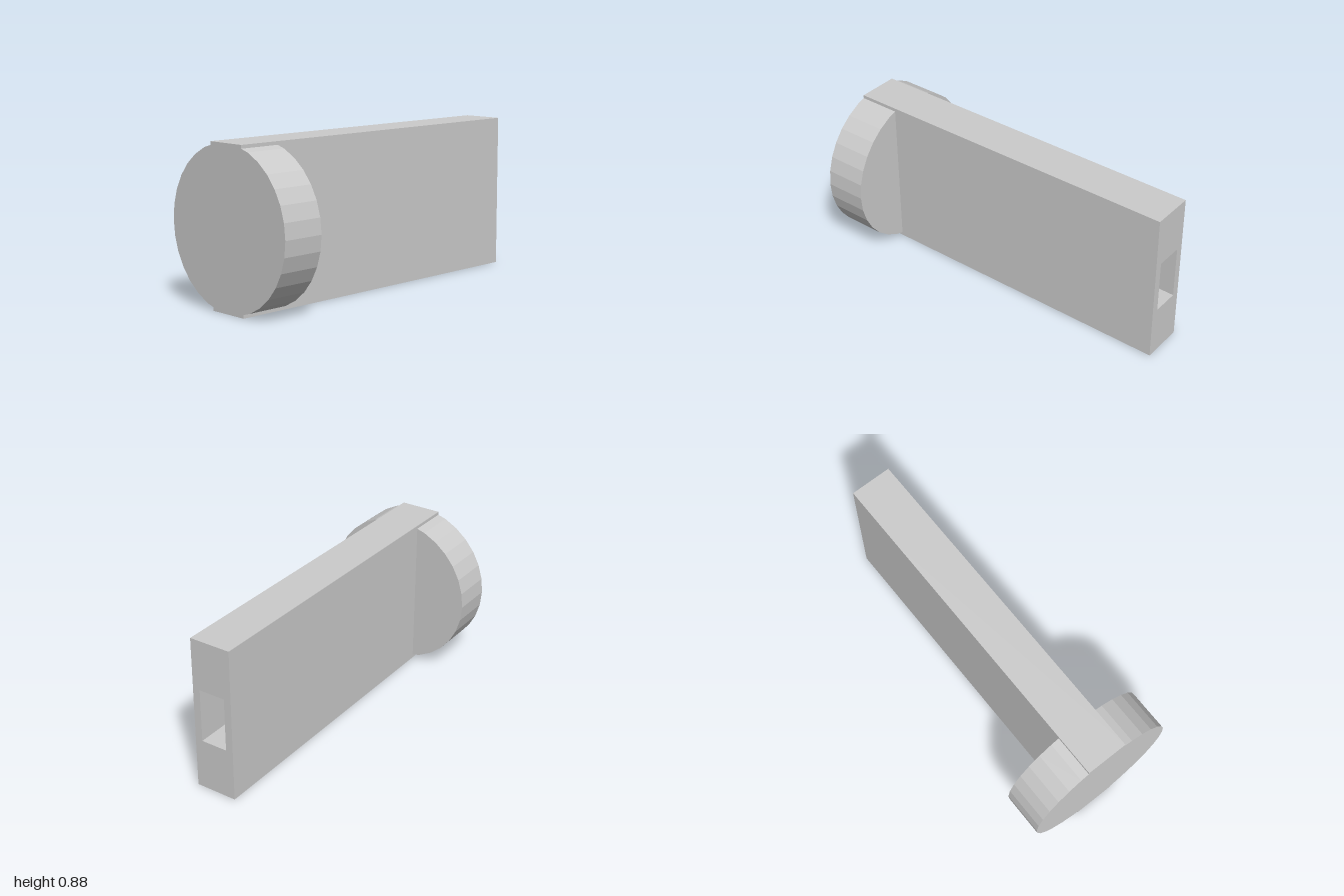
import * as THREE from 'three';

const R = 0.44;          // head radius and half the plate height
const HALF = 0.12;       // half the plate thickness
const HEAD = 0.24;       // head thickness along x
const SOCKET = 0.4;      // socket depth

const material = new THREE.MeshStandardMaterial({ color: 0xcccccc, flatShading: true });

// Rectangle outline centred on the origin
function rect(path, w, h) {
  path.moveTo(-w, -h);
  path.lineTo(w, -h);
  path.lineTo(w, h);
  path.lineTo(-w, h);
  path.closePath();
  return path;
}

// Extrudes a (z, y) outline along +x, starting at the given x
function extrudeAlongX(name, shape, x, length) {
  const geometry = new THREE.ExtrudeGeometry(shape, { depth: length, bevelEnabled: false });
  geometry.rotateY(Math.PI / 2);
  geometry.translate(x, R, 0);
  const mesh = new THREE.Mesh(geometry, material);
  mesh.name = name;
  return mesh;
}

export function createModel() {
  const model = new THREE.Group();
  model.name = 'roundHeadedPlate';

  // Solid length of the plate
  const plate = new THREE.Group();
  plate.name = 'plate';
  plate.add(extrudeAlongX('plateBody', rect(new THREE.Shape(), HALF, R), -1, 2 - SOCKET));

  // End of the plate with a rectangular blind socket
  const frame = rect(new THREE.Shape(), HALF, R);
  frame.holes.push(rect(new THREE.Path(), 0.077, 0.152));
  plate.add(extrudeAlongX('socketEnd', frame, 1 - SOCKET, SOCKET));
  model.add(plate);

  // Round head: a 32-sided disc split by the plate into two mirrored segments
  const head = new THREE.Group();
  head.name = 'roundHead';
  for (const side of [1, -1]) {
    const points = [new THREE.Vector2(side * HALF, -0.421)];
    for (let k = -6; k <= 6; k++) {
      const a = (k * Math.PI) / 16;
      points.push(new THREE.Vector2(side * R * Math.cos(a), R * Math.sin(a)));
    }
    points.push(new THREE.Vector2(side * HALF, 0.421));
    const name = side > 0 ? 'backHeadSegment' : 'frontHeadSegment';
    head.add(extrudeAlongX(name, new THREE.Shape(points), -1, HEAD));
  }
  model.add(head);

  return model;
}
